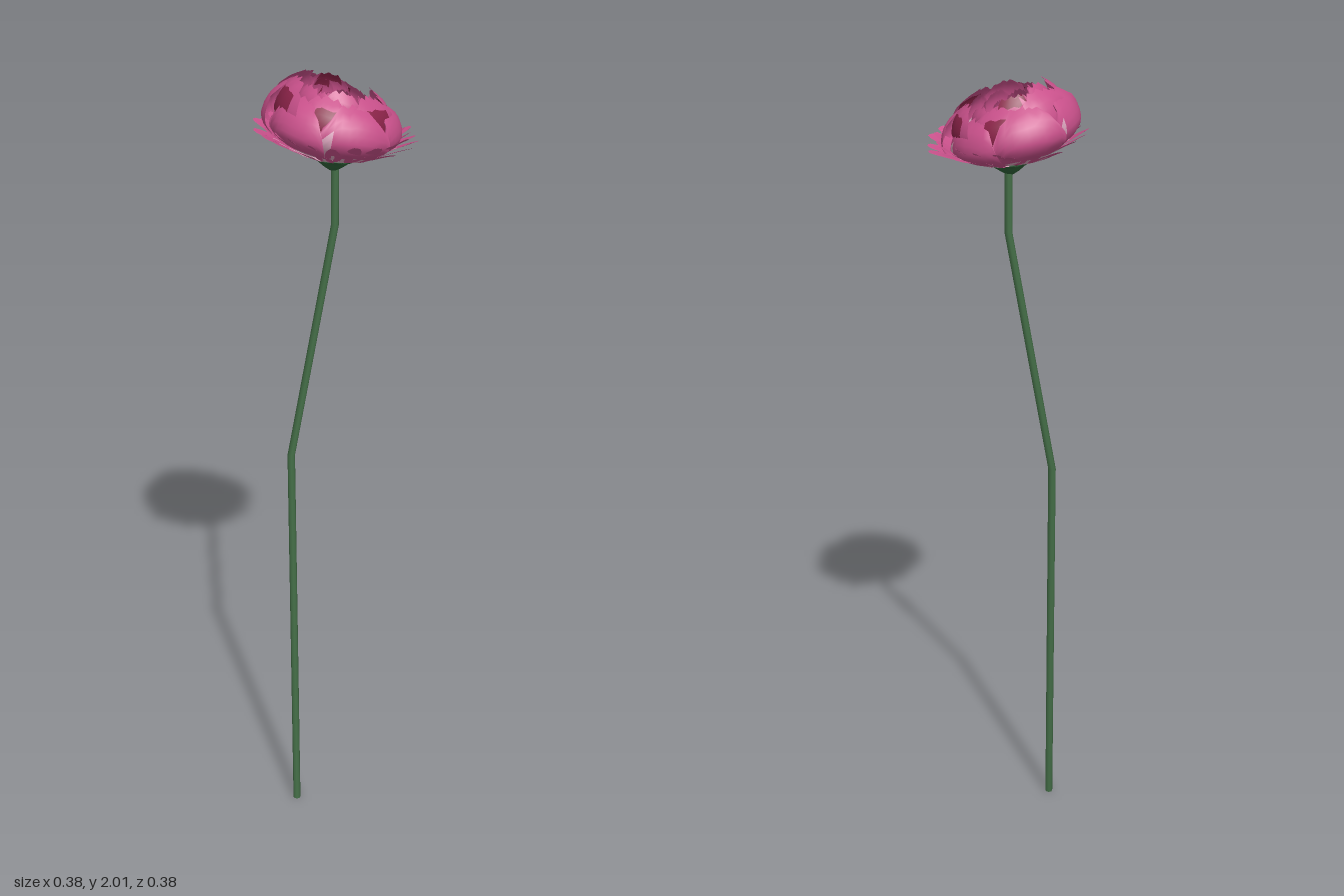
import * as THREE from 'three';

const mat = (name, color) => {
  const m = new THREE.MeshStandardMaterial({ color, side: THREE.DoubleSide });
  m.name = name;
  return m;
};

export function createModel() {
  const pink = mat('pink', 0xc8508a);
  const pale = mat('pale pink', 0xdba5bd);
  const crimson = mat('crimson', 0x8a2348);
  const green = mat('stem green', 0x446e47);
  const leaf = mat('calyx green', 0x2f6239);
  const petalColours = [pink, pale, crimson];
  const PINK = 0, PALE = 1, CRIMSON = 2;
  const model = new THREE.Group();
  model.name = 'flower';

  // A petal: a patch swept round the axis along a (radius, height) profile
  function petal(o, angle, k) {
    const curve = new THREE.CatmullRomCurve3(o.profile.map(([r, y]) => new THREE.Vector3(r, y, 0)));
    const nu = 10, nv = 12, pos = [], index = [[], [], []];
    for (let j = 0; j <= nv; j++) {
      for (let i = 0; i <= nu; i++) {
        const u = (i / nu) * 2 - 1, v = j / nv;
        const wave = o.ragged * Math.cos(i * 2.4 + k * 1.7) * v ** 4;
        const t = Math.min(1, Math.max(0, v * (1 - o.round * Math.abs(u) ** 3 - o.ragged + wave)));
        const p = curve.getPoint(t);
        const a = angle + u * o.half * (1 - o.taper * v ** 4);
        const r = p.x * (1 + o.lap * u + 0.025 * Math.sin(k * 2.3));
        const y = p.y + (o.lift * Math.sin(k * 1.9 + 1) - o.lean * Math.sin(a)) * v;
        pos.push(r * Math.sin(a), y, r * Math.cos(a));
      }
    }
    for (let j = 0; j < nv; j++) {
      for (let i = 0; i < nu; i++) {
        const a = j * (nu + 1) + i, b = a + 1, c = a + nu + 1, d = c + 1;
        index[o.colour((i + 0.5) / nu * 2 - 1, (j + 0.5) / nv, k)].push(a, b, d, a, d, c);
      }
    }
    const g = new THREE.BufferGeometry();
    g.setAttribute('position', new THREE.Float32BufferAttribute(pos, 3));
    g.setIndex(index.flat());
    let start = 0;
    index.forEach((list, m) => {
      if (list.length) g.addGroup(start, list.length, m);
      start += list.length;
    });
    g.computeVertexNormals();
    const mesh = new THREE.Mesh(g, petalColours);
    mesh.name = 'petal';
    return mesh;
  }

  function ring(name, parent, o) {
    const group = new THREE.Group();
    group.name = name;
    for (let k = 0; k < o.count; k++) group.add(petal(o, o.turn + (k / o.count) * Math.PI * 2, k));
    parent.add(group);
  }

  // Bent stem: straight mitred lengths
  const bends = [[-0.11, 0, 0.085], [-0.11, 1.02, -0.005], [0, 1.64, -0.005], [0, 1.8, -0.005]];
  const across = 8, stemPos = [], stemIndex = [];
  bends.forEach(([x, y, z], j) => {
    for (let i = 0; i < across; i++) {
      const a = (i / across) * Math.PI * 2;
      stemPos.push(x + 0.0095 * Math.sin(a), y, z + 0.0095 * Math.cos(a));
      if (j === bends.length - 1) continue;
      const n = (i + 1) % across, q = j * across;
      stemIndex.push(q + i, q + n, q + across + n, q + i, q + across + n, q + across + i);
    }
  });
  for (let i = 1; i < across - 1; i++) stemIndex.push(0, i + 1, i);
  const stemGeo = new THREE.BufferGeometry();
  stemGeo.setAttribute('position', new THREE.Float32BufferAttribute(stemPos, 3));
  stemGeo.setIndex(stemIndex);
  stemGeo.computeVertexNormals();
  const stem = new THREE.Mesh(stemGeo, green);
  stem.name = 'stem';
  model.add(stem);

  // Flower head, leaning towards +x
  const head = new THREE.Group();
  head.name = 'flowerHead';
  head.position.set(-0.004, 1.8, 0);
  head.rotation.set(-0.04, 0, -0.09);
  model.add(head);

  // Calyx cup with small sepals; profile runs upwards so it faces out
  const cup = new THREE.Mesh(new THREE.LatheGeometry(
    [[0.009, -0.018], [0.022, -0.01], [0.042, 0.006], [0.056, 0.024]].map(p => new THREE.Vector2(...p)), 16), leaf);
  cup.name = 'calyx';
  head.add(cup);
  for (let i = 0; i < 8; i++) {
    const sepal = new THREE.Mesh(new THREE.SphereGeometry(1, 8, 6), leaf);
    const a = (i / 8) * Math.PI * 2;
    sepal.name = 'sepal';
    sepal.scale.set(0.018, 0.004, 0.024);
    sepal.rotation.set(-0.45, a, 0, 'YXZ');
    sepal.position.set(0.045 * Math.sin(a), 0.012, 0.045 * Math.cos(a));
    head.add(sepal);
  }

  // Narrow guard petals with a pale streak along the base
  const guard = {
    count: 20, half: 0.17, round: 0.08, taper: 0.6, lap: 0.03, ragged: 0.01, lift: 0.004, lean: 0,
    colour: (u, v) => (v < 0.68 - 0.5 * Math.abs(u) ? PALE : PINK),
  };
  ring('guardPetals', head, {
    ...guard, turn: 0.06,
    profile: [[0.03, 0.018], [0.09, 0.028], [0.145, 0.054], [0.192, 0.076]],
  });
  ring('upperGuardPetals', head, {
    ...guard, turn: 0.2,
    profile: [[0.03, 0.022], [0.09, 0.034], [0.135, 0.06], [0.172, 0.088]],
  });

  // Cupped bloom, nested rings of broad petals
  const bloom = new THREE.Group();
  bloom.name = 'bloom';
  bloom.position.set(-0.016, 0.005, -0.006);
  bloom.rotation.z = -0.05;
  head.add(bloom);

  // Outer petals: pale base, some with a pale patch on one flank
  const outerColour = (u, v, k) => {
    if (v < 0.36) return PALE;
    return k % 2 === 0 && u < -0.55 && v < 0.74 ? PALE : PINK;
  };
  // Second petals: crimson where they show between the outer ones
  const secondColour = (u, v, k) => {
    if (v < 0.5) return PALE;
    return k !== 3 && Math.abs(u - 0.1) < 0.42 && v > 0.5 && v < 0.84 ? CRIMSON : PINK;
  };
  // Inner petals: pale up to the shoulder, an occasional crimson tip
  const innerColour = (u, v, k) => {
    if (v < 0.62) return PALE;
    return k === 3 && v > 0.8 && Math.abs(u) < 0.6 ? CRIMSON : PINK;
  };

  const broad = { round: 0.2, taper: 0.15, lap: 0.04, ragged: 0.035, lift: 0.008, lean: 0.012 };
  ring('outerBloomPetals', bloom, {
    ...broad, count: 6, half: 0.62, turn: 0.3, round: 0.34, colour: outerColour,
    profile: [[0.03, 0.02], [0.11, 0.035], [0.16, 0.075], [0.147, 0.125], [0.1, 0.162]],
  });
  ring('secondBloomPetals', bloom, {
    ...broad, count: 6, half: 0.6, turn: 0.82, colour: secondColour,
    profile: [[0.03, 0.025], [0.095, 0.05], [0.138, 0.095], [0.125, 0.145], [0.085, 0.178]],
  });
  const innerRings = [
    ['thirdBloomPetals', 6, 0.6, 0.1, [[0.025, 0.03], [0.07, 0.06], [0.095, 0.11], [0.092, 0.15], [0.07, 0.18]]],
    ['fourthBloomPetals', 6, 0.58, 0.5, [[0.02, 0.035], [0.05, 0.07], [0.066, 0.115], [0.064, 0.145], [0.05, 0.17]]],
    ['innerBloomPetals', 5, 0.66, 0.9, [[0.012, 0.04], [0.03, 0.08], [0.041, 0.11], [0.04, 0.135], [0.03, 0.155]]],
  ];
  for (const [name, count, half, turn, profile] of innerRings) {
    ring(name, bloom, { ...broad, count, half, turn, profile, colour: innerColour });
  }

  // Green heart at the centre
  const heart = new THREE.Mesh(new THREE.SphereGeometry(0.01, 10, 8), leaf);
  heart.name = 'heart';
  heart.position.set(-0.004, 0.07, -0.008);
  bloom.add(heart);
  return model;
}
